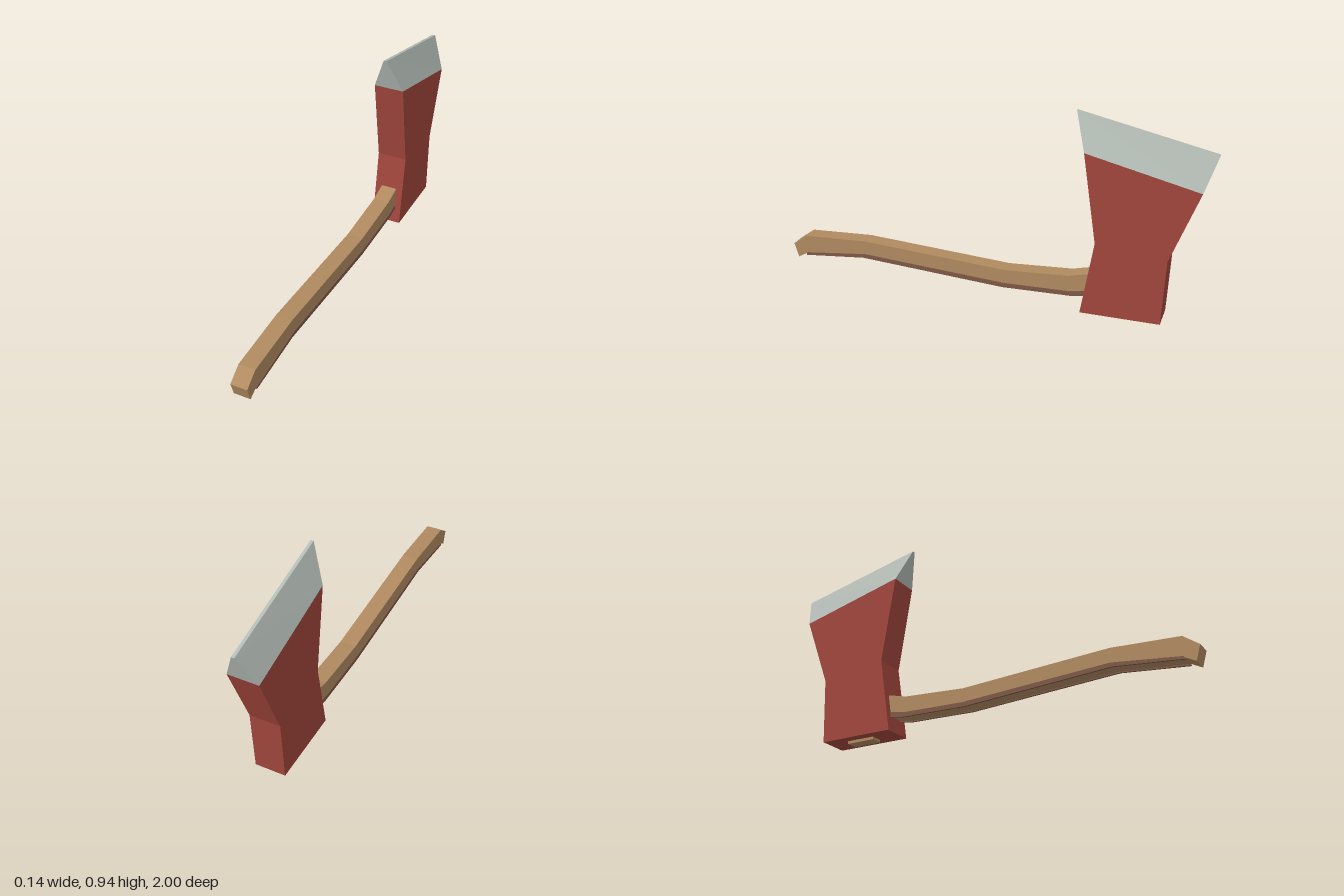
import * as THREE from 'three';

const paint = (color) => new THREE.MeshStandardMaterial({ color, flatShading: true });

// Skin a row of four-cornered rings and cap both ends.
// Each ring winds anticlockwise when seen from outside the first cap.
function loft(rings) {
  const pos = [];
  const quad = (a, b, c, d) => [a, b, c, a, c, d].forEach((p) => pos.push(...p));
  quad(...rings[0]);
  for (let r = 0; r < rings.length - 1; r++) {
    for (let i = 0; i < 4; i++) {
      const j = (i + 1) % 4;
      quad(rings[r][i], rings[r + 1][i], rings[r + 1][j], rings[r][j]);
    }
  }
  quad(...[...rings[rings.length - 1]].reverse());
  const geo = new THREE.BufferGeometry();
  geo.setAttribute('position', new THREE.Float32BufferAttribute(pos, 3));
  geo.computeVertexNormals();
  return geo;
}

// Ring across the handle: x range, top point and bottom point in (z, y).
const beamRing = (x0, x1, [zt, yt, zb, yb]) => [[x1, yt, zt], [x0, yt, zt], [x0, yb, zb], [x1, yb, zb]];

// Ring across the head: half width, front point and back point in (z, y).
const headRing = ([w, zf, yf, zb, yb]) => [[w, yf, zf], [-w, yf, zf], [-w, yb, zb], [w, yb, zb]];

export function createModel() {
  const axe = new THREE.Group();
  axe.name = 'axe';
  const add = (name, geo, material) => {
    const mesh = new THREE.Mesh(geo, material);
    mesh.name = name;
    axe.add(mesh);
    return mesh;
  };
  const wood = paint(0xb08a60);
  const darkWood = paint(0x7d5845);
  const red = paint(0xa0463c);
  const steel = paint(0xb4bcb6);

  // Curved handle, from its butt to inside the head
  const handlePath = [
    [1.0, 0.13, 0.98, 0.062],
    [0.93, 0.18, 0.935, 0.086],
    [0.62, 0.195, 0.63, 0.114],
    [-0.08, 0.152, -0.07, 0.069],
    [-0.38, 0.17, -0.39, 0.078],
    [-0.52, 0.205, -0.52, 0.1],
  ];
  add('handle', loft(handlePath.map((p) => beamRing(-0.039, 0.039, p))), wood);

  // Thin dark strips along the lower edges of the handle
  const stripPath = [
    [0.93, 0.092, 0.935, 0.079],
    [0.62, 0.128, 0.63, 0.109],
    [-0.08, 0.086, -0.07, 0.065],
    [-0.38, 0.094, -0.39, 0.073],
    [-0.52, 0.118, -0.52, 0.095],
  ];
  add('leftHandleStrip', loft(stripPath.map((p) => beamRing(0.034, 0.043, p))), darkWood);
  add('rightHandleStrip', loft(stripPath.map((p) => beamRing(-0.043, -0.034, p))), darkWood);

  // Flared axe head
  const shoulder = [0.072, -0.44, 0.772, -0.948, 0.65];
  const headPath = [
    [0.072, -0.445, 0.013, -0.808, 0.013],
    [0.072, -0.502, 0.36, -0.822, 0.32],
    shoulder,
  ];
  add('head', loft(headPath.map(headRing)), red);

  // Tapered cutting edge
  add('blade', loft([shoulder, [0.007, -0.388, 0.938, -1.0, 0.803]].map(headRing)), steel);

  // Wedge end showing under the head
  const wedge = add('wedge', new THREE.BoxGeometry(0.056, 0.05, 0.14), wood);
  wedge.position.set(0, 0.025, -0.63);

  return axe;
}
